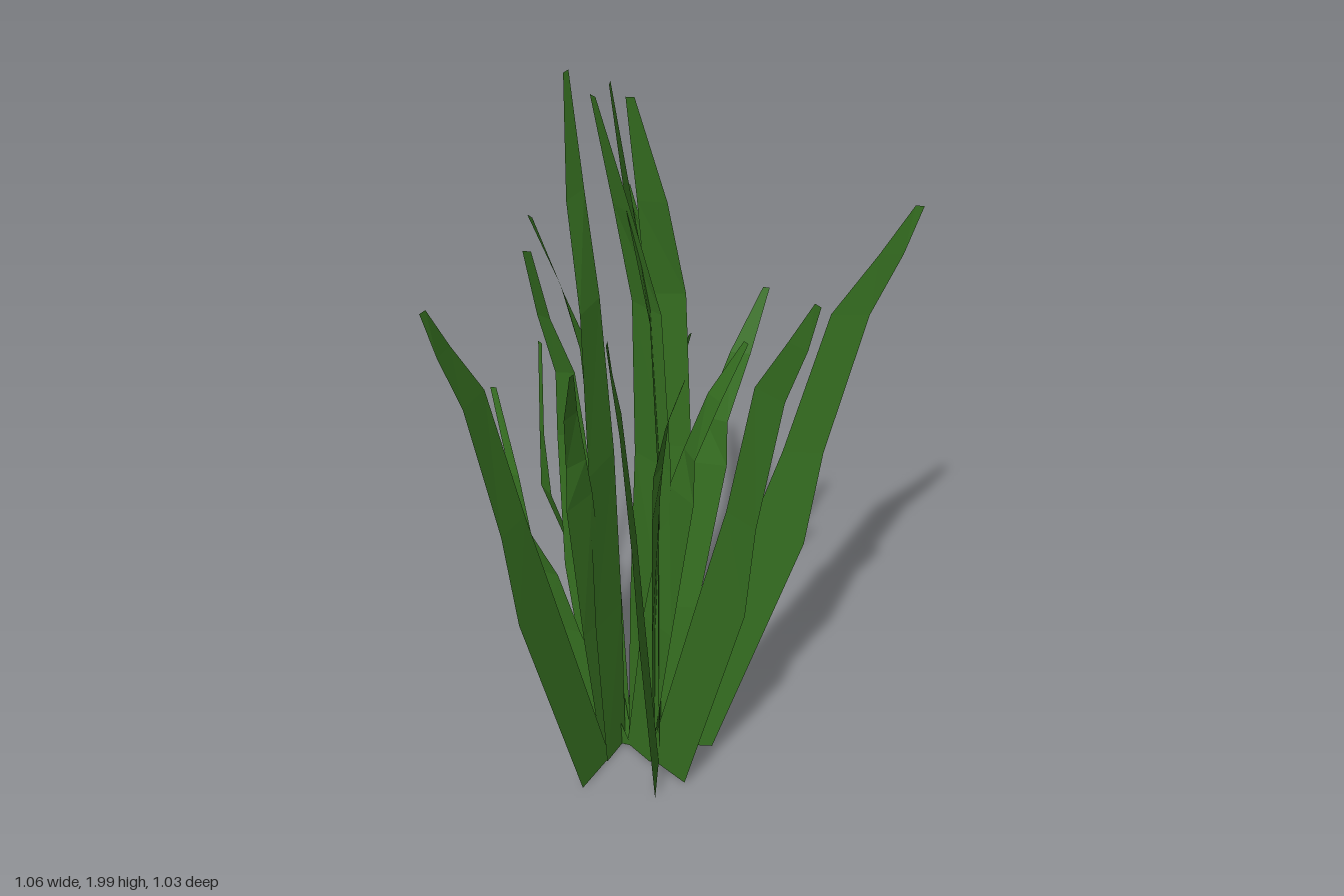
import * as THREE from 'three';

// Blades of one tuft; each row is [height, inner x, inner z, outer x, outer z]
const blades = {
  outerBlade: [
    [0.01, 0.08, -0.01, 0.22, -0.02], [0.73, 0.30, -0.008, 0.45, -0.02],
    [1.02, 0.39, -0.008, 0.49, -0.014], [1.43, 0.495, 0.004, 0.585, -0.006],
    [1.6, 0.60, 0.004, 0.655, -0.004], [1.73, 0.675, 0, 0.695, 0],
  ],
  tallBlade: [
    [0.01, 0, -0.005, 0.10, -0.015], [0.5, 0.01, -0.01, 0.14, -0.02],
    [1.0, 0.035, -0.015, 0.16, -0.028], [1.45, 0.055, 0.002, 0.15, -0.01],
    [1.72, 0.045, 0.045, 0.115, 0.045], [2.0, 0.03, 0.09, 0.05, 0.09],
  ],
  innerBlade: [
    [0.01, 0, -0.015, -0.10, -0.005], [0.6, -0.08, -0.045, -0.17, -0.02],
    [1.0, -0.11, -0.042, -0.178, -0.03], [1.2, -0.125, -0.015, -0.172, -0.01],
    [1.38, -0.17, 0.035, -0.205, 0.018], [1.6, -0.195, 0.10, -0.215, 0.10],
  ],
  bentBlade: [
    [0.01, 0, 0, 0.10, 0], [0.5, 0.07, -0.005, 0.18, -0.01],
    [0.95, 0.15, -0.03, 0.25, -0.025], [1.08, 0.19, -0.044, 0.25, -0.028],
    [1.26, 0.25, -0.068, 0.30, -0.065], [1.42, 0.322, -0.115, 0.338, -0.115],
  ],
  shortBlade: [
    [0.01, 0, 0.008, -0.09, -0.008], [0.4, -0.13, 0.01, -0.22, -0.005],
    [0.6, -0.18, 0.028, -0.24, 0.015], [0.74, -0.24, 0.048, -0.295, 0.04],
    [0.92, -0.265, 0.045, -0.29, 0.04], [1.15, -0.32, 0, -0.335, 0],
  ],
};

// Tuft placements: x, z, turn in degrees
const tufts = [
  [-0.169, -0.17, 3.4],
  [-0.18, -0.17, 45.8],
  [-0.094, -0.18, 93],
  [-0.192, -0.187, 119.3],
];

// Ribbon joining the inner and outer edge of every row
function bladeGeometry(rows) {
  const positions = [], index = [];
  rows.forEach(([y, x1, z1, x2, z2], i) => {
    positions.push(x1, y, z1, x2, y, z2);
    if (i > 0) {
      const k = i * 2;
      index.push(k - 2, k - 1, k, k - 1, k + 1, k);
    }
  });
  const geometry = new THREE.BufferGeometry();
  geometry.setAttribute('position', new THREE.Float32BufferAttribute(positions, 3));
  geometry.setIndex(index);
  const flat = geometry.toNonIndexed();
  flat.computeVertexNormals();
  return flat;
}

export function createModel() {
  const model = new THREE.Group();
  model.name = 'grassClump';
  const green = new THREE.MeshStandardMaterial({ color: 0x367021, side: THREE.DoubleSide, flatShading: true });
  green.name = 'leafGreen';

  // The same five-blade tuft, turned and repeated
  const shapes = Object.entries(blades).map(([name, rows]) => [name, bladeGeometry(rows)]);
  for (const [x, z, turn] of tufts) {
    const tuft = new THREE.Group();
    tuft.name = 'tuft';
    tuft.position.set(x, 0, z);
    tuft.rotation.y = -THREE.MathUtils.degToRad(turn);
    for (const [name, geometry] of shapes) {
      const blade = new THREE.Mesh(geometry, green);
      blade.name = name;
      tuft.add(blade);
    }
    model.add(tuft);
  }
  return model;
}
